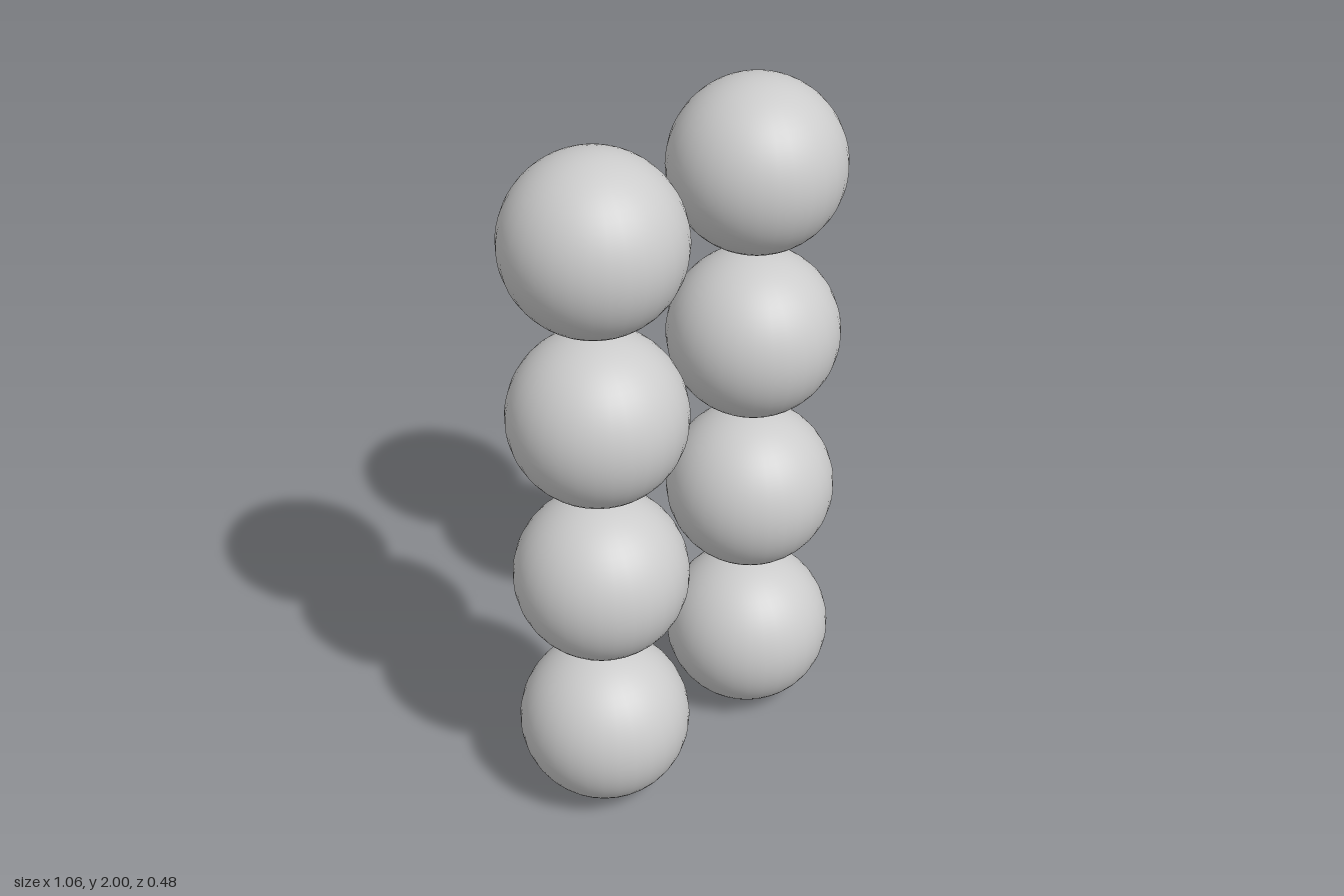
import * as THREE from 'three';

const RADIUS = 0.239;
const COLUMN_X = 0.293;
const ROWS = 4;
const SPACING = (2 - 2 * RADIUS) / (ROWS - 1);

export function createModel() {
  const model = new THREE.Group();
  model.name = 'sphereGrid';
  const material = new THREE.MeshStandardMaterial({ color: 0xcccccc });
  const geometry = new THREE.SphereGeometry(RADIUS, 32, 32);

  // Two mirrored columns of evenly stacked balls
  for (const [side, x] of [['left', COLUMN_X], ['right', -COLUMN_X]]) {
    const column = new THREE.Group();
    column.name = `${side}Column`;
    column.position.x = x;
    for (let row = 0; row < ROWS; row++) {
      const ball = new THREE.Mesh(geometry, material);
      ball.name = `${side}Ball${row + 1}`;
      ball.position.y = RADIUS + row * SPACING;
      column.add(ball);
    }
    model.add(column);
  }
  return model;
}
